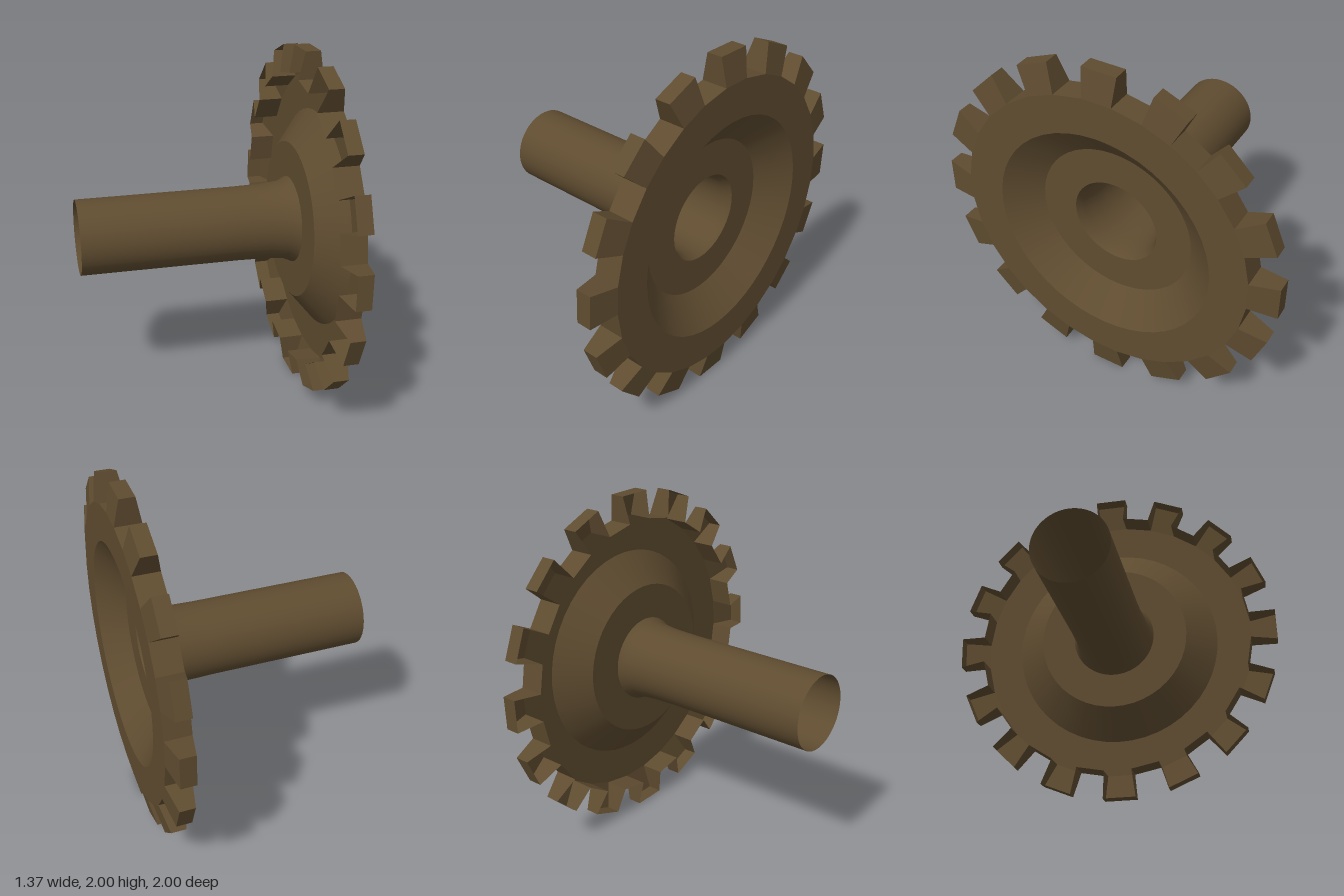
import * as THREE from 'three';

const TEETH = 16;
const STEP = (Math.PI * 2) / TEETH;
const HALF = THREE.MathUtils.degToRad(5.55); // half angle of a tooth
const OFFSET = THREE.MathUtils.degToRad(1);
const ROOT = 0.845, TIP = 1.003;             // tooth radii
const FRONT = 0.685, BACK = 0.54;            // rim planes along the axle

// point at a clockwise angle from the top, radius r, axial position z
const polar = (a, r, z) => [Math.sin(a) * r, Math.cos(a) * r, z];

// flat-shaded geometry from a list of four-cornered faces
function quads(list) {
  const pos = [];
  for (const [a, b, c, d] of list) pos.push(...a, ...b, ...c, ...a, ...c, ...d);
  const g = new THREE.BufferGeometry();
  g.setAttribute('position', new THREE.Float32BufferAttribute(pos, 3));
  g.computeVertexNormals();
  return g;
}

// surface turned around the axle from [radius, axial] points
function turned(points, segments = 48) {
  const g = new THREE.LatheGeometry(points.map(([r, z]) => new THREE.Vector2(r, z)), segments);
  return g.rotateX(Math.PI / 2);
}

export function createModel() {
  const model = new THREE.Group();
  model.name = 'sprocketWheel';
  const bronze = new THREE.MeshStandardMaterial({ color: 0x5f4c30, side: THREE.DoubleSide });
  bronze.name = 'dark bronze';

  const wheel = new THREE.Group();
  wheel.name = 'wheel';
  const add = (name, geometry) => {
    const mesh = new THREE.Mesh(geometry, bronze);
    mesh.name = name;
    wheel.add(mesh);
  };

  // flat face plate between the teeth and the dish
  const outline = [];
  const toothFaces = [], gapFaces = [];
  for (let i = 0; i < TEETH; i++) {
    const a0 = OFFSET + i * STEP - HALF;
    const a1 = a0 + 2 * HALF;
    const a2 = a0 + STEP;
    for (const a of [a0, a1]) outline.push(new THREE.Vector2(Math.sin(a) * ROOT, Math.cos(a) * ROOT));

    // corners of one tooth side: front root, front tip, back tip, back root
    const side = (a) => [polar(a, ROOT, FRONT), polar(a, TIP, 0.655), polar(a, TIP, 0.57), polar(a, ROOT, BACK)];
    const s0 = side(a0), s1 = side(a1);
    toothFaces.push(
      [s0[0], s0[1], s1[1], s1[0]].reverse(), // sloped front
      [s0[1], s0[2], s1[2], s1[1]].reverse(), // tip
      s0, [...s1].reverse()                   // flanks, open at the back
    );
    gapFaces.push([polar(a1, ROOT, FRONT), polar(a2, ROOT, FRONT), polar(a2, ROOT, BACK), polar(a1, ROOT, BACK)]);
  }
  const plate = new THREE.Shape(outline);
  plate.holes.push(new THREE.Path().absarc(0, 0, 0.632, 0, Math.PI * 2, false));
  add('facePlate', new THREE.ShapeGeometry(plate, 24).translate(0, 0, FRONT));
  add('teeth', quads(toothFaces));
  add('rimGaps', quads(gapFaces));

  // dished centre
  add('dishCone', turned([[0.453, BACK], [0.632, FRONT]]));
  add('hubPlate', turned([[0.25, BACK], [0.453, BACK]]));

  // open tube flaring into the hub
  add('axleTube', turned([
    [0.213, -0.688], [0.213, 0.22], [0.217, 0.38], [0.227, 0.49], [0.25, BACK],
  ]));

  // turn the axle along x and lift to the ground
  wheel.rotation.y = Math.PI / 2;
  wheel.position.y = 1;
  model.add(wheel);
  return model;
}
